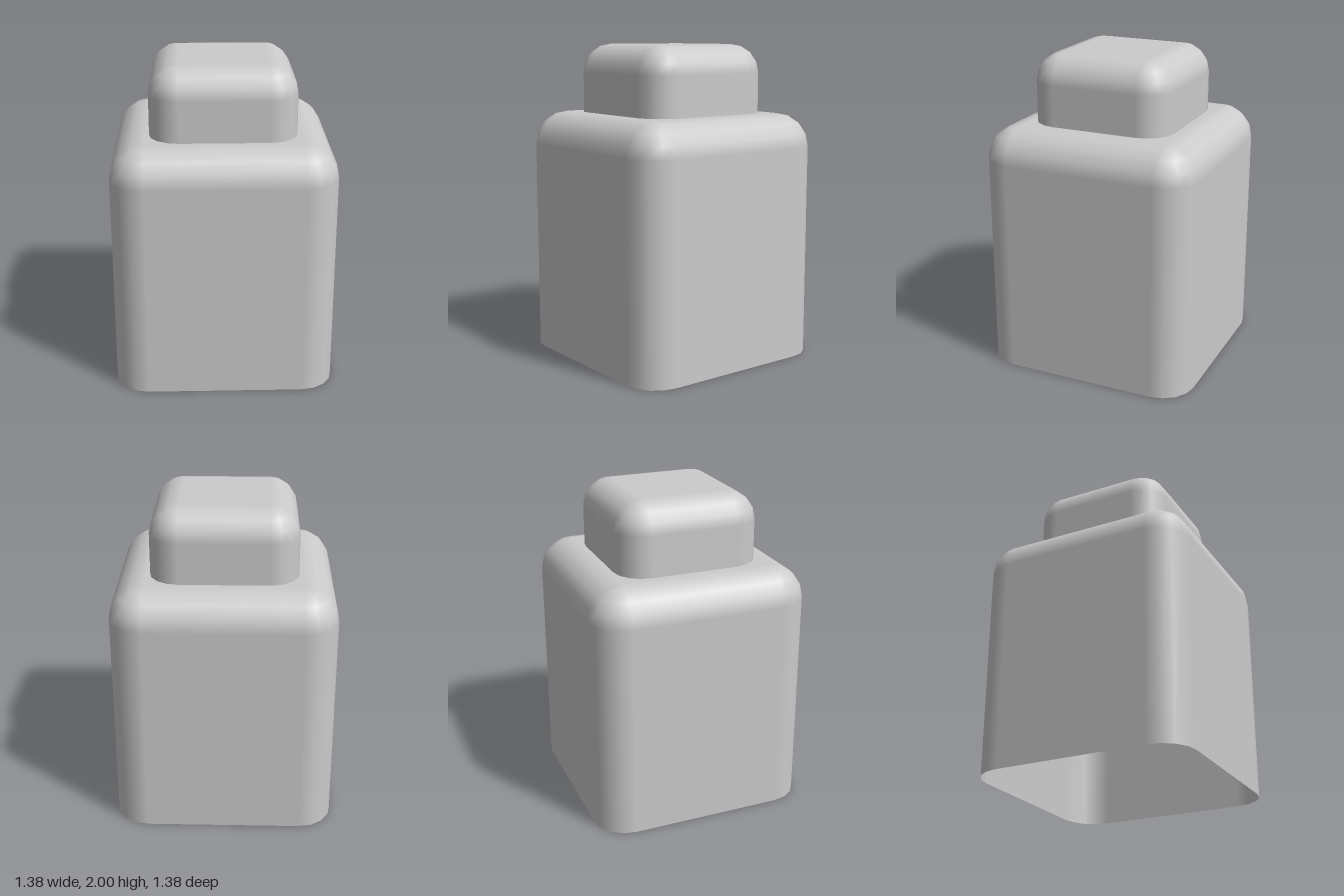
import * as THREE from 'three';

const SEGMENTS = 4; // facets per rounded quarter

// Square block with rounded vertical corners and a rounded top rim, open underneath.
function roundedBlock(half, bottom, top, radius) {
  const core = half - radius;
  const positions = [], normals = [], index = [];

  // Stacked rings: the base, then the quarter-round up to the flat top
  const rings = [{ y: bottom, a: 0 }];
  for (let i = 0; i <= SEGMENTS; i++) {
    const a = (i / SEGMENTS) * Math.PI / 2;
    rings.push({ y: top - radius + radius * Math.sin(a), a });
  }

  // Each ring has four corner arcs joined by straight sides
  for (const { y, a } of rings) {
    for (let corner = 0; corner < 4; corner++) {
      const mid = (corner + 0.5) * Math.PI / 2;
      const cx = Math.sign(Math.cos(mid)) * core;
      const cz = Math.sign(Math.sin(mid)) * core;
      for (let i = 0; i <= SEGMENTS; i++) {
        const b = (corner + i / SEGMENTS) * Math.PI / 2;
        const nx = Math.cos(a) * Math.cos(b), nz = Math.cos(a) * Math.sin(b);
        positions.push(cx + radius * nx, y, cz + radius * nz);
        normals.push(nx, Math.sin(a), nz);
      }
    }
  }

  // Walls and rounded rim
  const count = 4 * (SEGMENTS + 1);
  for (let r = 0; r < rings.length - 1; r++) {
    for (let i = 0; i < count; i++) {
      const p = r * count + i, q = r * count + (i + 1) % count;
      index.push(p, p + count, q, q, p + count, q + count);
    }
  }

  // Flat top, one triangle per straight side
  const last = (rings.length - 1) * count, centre = positions.length / 3;
  positions.push(0, top, 0);
  normals.push(0, 1, 0);
  for (let corner = 0; corner < 4; corner++) {
    const end = corner * (SEGMENTS + 1) + SEGMENTS;
    index.push(centre, last + (end + 1) % count, last + end);
  }

  const geometry = new THREE.BufferGeometry();
  geometry.setAttribute('position', new THREE.Float32BufferAttribute(positions, 3));
  geometry.setAttribute('normal', new THREE.Float32BufferAttribute(normals, 3));
  geometry.setIndex(index);
  return geometry;
}

export function createModel() {
  const group = new THREE.Group();
  group.name = 'squareBottle';
  const material = new THREE.MeshStandardMaterial({ color: 0xcccccc, side: THREE.DoubleSide });

  const body = new THREE.Mesh(roundedBlock(0.69, 0, 1.565, 0.21), material);
  body.name = 'body';

  const cap = new THREE.Mesh(roundedBlock(0.453, 1.565, 2, 0.18), material);
  cap.name = 'cap';

  group.add(body, cap);
  return group;
}
